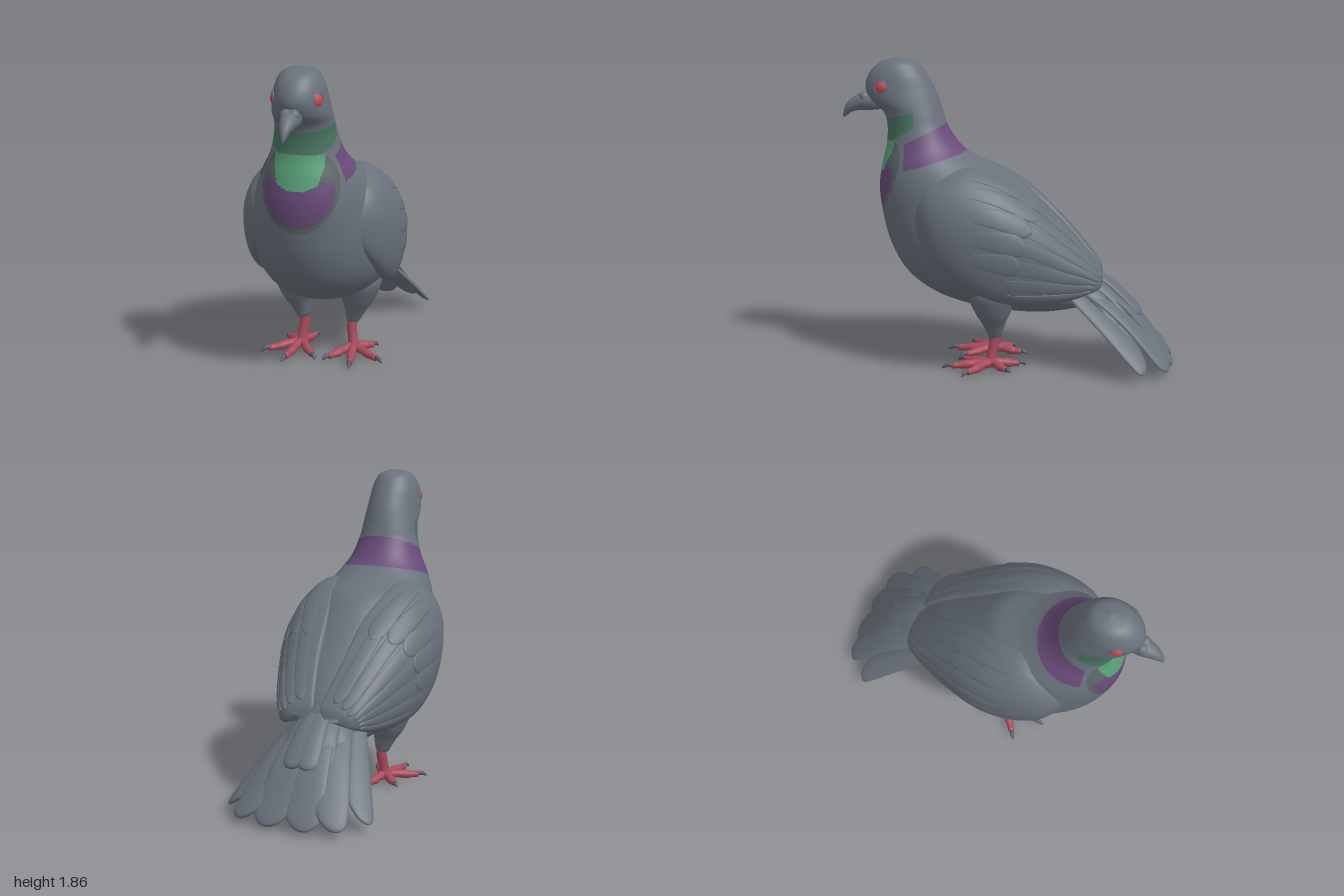
import * as THREE from 'three';

const V = (x, y, z) => new THREE.Vector3(x, y, z);
const mat = (name, color) => Object.assign(new THREE.MeshStandardMaterial({ color }), { name });
const slate = mat('slate plumage', 0x69717b);
const shade = mat('shaded plumage', 0x5b6467);
const green = mat('bright green throat', 0x58a078);
const moss = mat('dark green neck', 0x47725f);
const purple = mat('purple neck', 0x684a78);
const red = mat('red eye', 0xc24a55);
const pink = mat('red leg', 0xa84a5c);
const horn = mat('claw horn', 0x555b63);

// Closed surface from rings: fn(u, angle), turned so it faces outwards
function loft(fn, nu, nv) {
  const pos = [], idx = [];
  for (let i = 0; i <= nu; i++)
    for (let j = 0; j < nv; j++) pos.push(...fn(i / nu, (j / nv) * Math.PI * 2).toArray());
  for (let i = 0; i < nu; i++)
    for (let j = 0; j < nv; j++) {
      const a = i * nv + j, b = i * nv + (j + 1) % nv, c = a + nv, d = b + nv;
      idx.push(a, b, c, b, d, c);
    }
  const p = (i) => V(pos[i * 3], pos[i * 3 + 1], pos[i * 3 + 2]);
  let volume = 0;
  for (let i = 0; i < idx.length; i += 3) volume += p(idx[i]).dot(p(idx[i + 1]).cross(p(idx[i + 2])));
  if (volume < 0) idx.reverse();
  const g = new THREE.BufferGeometry();
  g.setAttribute('position', new THREE.Float32BufferAttribute(pos, 3));
  g.setIndex(idx);
  g.computeVertexNormals();
  return g;
}

function add(parent, name, geometry, material) {
  const m = new THREE.Mesh(geometry, material);
  m.name = name;
  parent.add(m);
  return m;
}

const curve = (pts) => new THREE.CatmullRomCurve3(pts.map((p) => V(p[0], p[1], p[2])), false, 'catmullrom', 0.5);

// Round tapering limb through points [x, y, z, radius]
function limb(pts, nu = 14, nv = 12) {
  const path = curve(pts), radii = curve(pts.map((p) => [p[3], 0, 0]));
  const dir = path.getPoint(1).sub(path.getPoint(0)).normalize();
  const ref = Math.abs(dir.y) > 0.8 ? V(0, 0, 1) : V(0, 1, 0);
  return loft((u, a) => {
    const side = path.getTangent(u).cross(ref).normalize();
    const up = side.clone().cross(path.getTangent(u)).normalize();
    const r = u === 0 || u === 1 ? 0 : radii.getPoint(u).x;
    return path.getPoint(u).addScaledVector(side, r * Math.cos(a)).addScaledVector(up, r * Math.sin(a));
  }, nu, nv);
}

// Feather outline: narrow root, rounded tip; rings crowd towards the tip
const paddle = (u, round) => (0.55 + 0.45 * Math.min(1, u * 1.3)) * (u > 1 - round ? Math.sqrt(Math.max(0, 1 - ((u - 1 + round) / round) ** 2)) : 1);
const crowd = (u) => 1 - (1 - u) ** 2;

// Body stations from crown to vent: front z, y, back z, y, half width
const stations = [
  [0.65, 1.872, 0.65, 1.872, 0], [0.76, 1.847, 0.55, 1.842, 0.095], [0.83, 1.785, 0.49, 1.77, 0.135],
  [0.86, 1.70, 0.44, 1.68, 0.153], [0.83, 1.62, 0.41, 1.60, 0.165], [0.755, 1.55, 0.39, 1.53, 0.17],
  [0.73, 1.47, 0.36, 1.45, 0.182], [0.735, 1.36, 0.28, 1.34, 0.215], [0.76, 1.25, 0.16, 1.26, 0.27],
  [0.78, 1.12, -0.02, 1.18, 0.325], [0.77, 0.98, -0.15, 1.06, 0.36], [0.72, 0.77, -0.30, 0.90, 0.39],
  [0.62, 0.59, -0.42, 0.77, 0.395], [0.45, 0.46, -0.50, 0.66, 0.365], [0.22, 0.38, -0.54, 0.59, 0.305],
  [0.0, 0.345, -0.57, 0.53, 0.245], [-0.2, 0.34, -0.60, 0.47, 0.19], [-0.4, 0.38, -0.62, 0.43, 0.12],
  [-0.61, 0.42, -0.61, 0.42, 0],
];

// Plumage patch number at a point of the body
function patch(x, y, z) {
  const ax = Math.abs(x);
  if (z < 0.61 && y < 1.48 - 0.48 * (z - 0.38) && y > 1.25 + 0.28 * (0.5 - z) && z > 0.2) return 4;
  if (z > 0.555 && y > 1.385 && y < 1.52 + 0.25 * (0.7 - z) && y > 1.38 + 0.6 * (0.7 - z)) return 3;
  if (z > 0.6 && y <= 1.385 && y > 1.185 + 0.45 * Math.max(0, ax - 0.05) && ax < 0.145 - 0.25 * Math.max(0, 1.32 - y)) return 2;
  if (z > 0.5 && (ax / 0.205) ** 2 + ((y - 1.17) / 0.2) ** 2 < 1 && y < 1.24 - 0.4 * Math.max(0, ax - 0.14)) return 4;
  if (z > 0.5 && (ax / 0.225) ** 2 + ((y - 1.19) / 0.25) ** 2 < 1) return 1;
  return 0;
}

function makeBody() {
  const front = curve(stations.map((s) => [s[4], s[1], s[0]]));
  const back = curve(stations.map((s) => [0, s[3], s[2]]));
  const g = loft((u, a) => {
    const f = front.getPoint(u), b = back.getPoint(u), k = 0.5 + 0.5 * Math.cos(a);
    return V(f.x * Math.sin(a), b.y + (f.y - b.y) * k, b.z + (f.z - b.z) * k);
  }, 260, 150);
  const buckets = [[], [], [], [], []], p = g.attributes.position, id = g.index.array;
  for (let i = 0; i < id.length; i += 3) {
    const t = [id[i], id[i + 1], id[i + 2]];
    const mean = (get) => t.reduce((s, k) => s + get(k), 0) / 3;
    buckets[patch(mean((k) => p.getX(k)), mean((k) => p.getY(k)), mean((k) => p.getZ(k)))].push(...t);
  }
  let start = 0;
  buckets.forEach((b, i) => { g.addGroup(start, b.length, i); start += b.length; });
  g.setIndex(buckets.flat());
  return g;
}

// Wing stations: z, top x y, outermost x y, lower edge x y
const wingRows = [
  [0.56, 0.27, 0.96, 0.27, 0.95, 0.27, 0.94], [0.51, 0.27, 1.08, 0.345, 0.95, 0.31, 0.82],
  [0.42, 0.25, 1.18, 0.42, 0.92, 0.355, 0.70], [0.25, 0.21, 1.24, 0.468, 0.86, 0.37, 0.56],
  [0.05, 0.18, 1.19, 0.472, 0.82, 0.355, 0.465], [-0.15, 0.13, 1.06, 0.425, 0.76, 0.32, 0.44],
  [-0.35, 0.10, 0.87, 0.345, 0.66, 0.275, 0.455], [-0.48, 0.07, 0.72, 0.28, 0.6, 0.24, 0.49],
  [-0.55, 0.06, 0.63, 0.225, 0.56, 0.21, 0.52], [-0.57, 0.14, 0.57, 0.15, 0.56, 0.14, 0.55],
];
const [wingTop, wingOut, wingLow] = [1, 3, 5].map((k) => curve(wingRows.map((r) => [r[k], r[k + 1], r[0]])));

function wingPoint(t, a) {
  const T = wingTop.getPoint(t), O = wingOut.getPoint(t), L = wingLow.getPoint(t);
  const s = Math.sin(a), c = Math.cos(a), k = 0.5 + 0.5 * c;
  if (s < 0) return V(L.x + (T.x - L.x) * k + 0.08 * s, L.y + (T.y - L.y) * k, O.z);
  const E = c > 0 ? T : L;
  return V(E.x + (O.x - E.x) * s, O.y + (E.y - O.y) * Math.abs(c), O.z);
}

// Raised feather lying on the wing, from t0 to t1
function wingFeather(t0, t1, a0, a1, da, h) {
  return loft((v, b) => {
    const u = crowd(v), a = a0 + (a1 - a0) * u + da * paddle(u, 0.2) * Math.cos(b);
    const lift = h * u * Math.sin(b);
    return wingPoint(t0 + (t1 - t0) * u, a).add(V(Math.sin(a) * lift, Math.cos(a) * lift, 0));
  }, 20, 14);
}

// Flat tail feather between two points, arched by bow, its width leaning by tilt
function tailFeather(root, tip, w, tilt, bow) {
  const path = curve([root, root.map((r, i) => (r + tip[i]) / 2 + (i === 1 ? bow : 0)), tip]);
  return loft((v, a) => {
    const u = crowd(v), p = paddle(u, 0.13);
    const k = w * p * Math.cos(a), h = 0.018 * Math.sqrt(p) * Math.sin(a);
    return path.getPoint(u).add(V(k * Math.cos(tilt), h - k * Math.sin(tilt), -h * 0.8));
  }, 24, 16);
}

function makeSide(sign) {
  const side = new THREE.Group();
  side.name = sign > 0 ? 'leftSide' : 'rightSide';
  side.scale.x = sign;

  // Wing with flight feathers and coverts
  add(side, 'wing', loft(wingPoint, 60, 40), slate);
  for (let k = 0; k < 7; k++) {
    const a = 0.3 + 0.37 * k;
    add(side, 'flightFeather', wingFeather(0.45, 0.9 - 0.025 * Math.abs(k - 2), a + 0.1, a, 0.2, 0.01), slate);
    if (k < 5) add(side, 'covert', wingFeather(0.36, 0.6 - 0.02 * k, a + 0.12, a + 0.04, 0.2, 0.009), slate);
  }

  // Tail fan and the shorter feathers over its root
  const fan = [
    [[0.04, 0.57, -0.42], [0.1, 0.035, -0.995], 0.115, 0.09], [[0.11, 0.55, -0.4], [0.265, 0.055, -0.965], 0.11, 0.05],
    [[0.19, 0.51, -0.36], [0.395, 0.085, -0.825], 0.1, 0.01],
  ];
  fan.forEach(([r, t, w, bow], i) => add(side, 'tailFeather', tailFeather(r, t, w, 0.12 + 0.25 * i, bow), slate));
  const over = [[[0.03, 0.62, -0.45], [0.04, 0.325, -0.805], 0.07], [[0.08, 0.59, -0.43], [0.12, 0.315, -0.76], 0.075],
    [[0.14, 0.55, -0.4], [0.2, 0.31, -0.67], 0.075]];
  over.forEach(([r, t, w], i) => add(side, 'tailCovert', tailFeather(r, t, w, 0.15 + 0.28 * i, 0.03), slate));

  // Leg
  add(side, 'thigh', limb([[0.18, 0.62, 0.1, 0.11], [0.185, 0.48, 0.09, 0.15], [0.185, 0.38, 0.085, 0.115], [0.17, 0.29, 0.08, 0.07], [0.15, 0.19, 0.075, 0.035]], 20, 20), slate);
  add(side, 'shank', limb([[0.15, 0.27, 0.075, 0.03], [0.15, 0.17, 0.08, 0.032], [0.16, 0.09, 0.095, 0.03], [0.165, 0.02, 0.1, 0.042]]), pink);

  // Toes with claws
  const root = [0.165, 0.045, 0.1];
  for (const [x, z] of [[0.05, 0.27], [0.2, 0.34], [0.34, 0.23], [0.27, 0.0], [0.12, -0.07]]) {
    const at = (k, y, r) => [root[0] + (x - root[0]) * k, y, root[2] + (z - root[2]) * k, r];
    add(side, 'toe', limb([at(0, 0.045, 0.034), at(0.35, 0.042, 0.024), at(0.6, 0.034, 0.027), at(0.8, 0.03, 0.02), at(1.03, 0.03, 0.02)]), pink);
    add(side, 'claw', limb([at(0.95, 0.034, 0.014), at(1.1, 0.032, 0.013), at(1.24, 0.012, 0.003)], 8, 8), horn);
  }

  // Eye, its lid ring and the swelling above the beak
  const eye = add(side, 'eye', new THREE.SphereGeometry(0.039, 20, 14), red);
  eye.position.set(0.123, 1.7, 0.75);
  eye.rotation.y = -0.4;
  eye.scale.x = 0.55;
  const lid = add(side, 'eyelid', new THREE.TorusGeometry(0.041, 0.006, 8, 24), slate);
  lid.position.set(0.128, 1.7, 0.752);
  lid.rotation.y = Math.PI / 2 - 0.4;
  const cere = add(side, 'cere', new THREE.SphereGeometry(0.033, 16, 12), slate);
  cere.position.set(0.022, 1.635, 0.865);
  return side;
}

export function createModel() {
  const bird = new THREE.Group();
  bird.name = 'bird';
  add(bird, 'body', makeBody(), [slate, shade, green, moss, purple]);
  add(bird, 'beak', limb([[0, 1.61, 0.75, 0.05], [0, 1.608, 0.85, 0.057], [0, 1.595, 0.91, 0.046], [0, 1.565, 0.96, 0.03], [0, 1.51, 0.998, 0.006]], 20, 16), slate);
  bird.add(makeSide(1), makeSide(-1));
  return bird;
}
